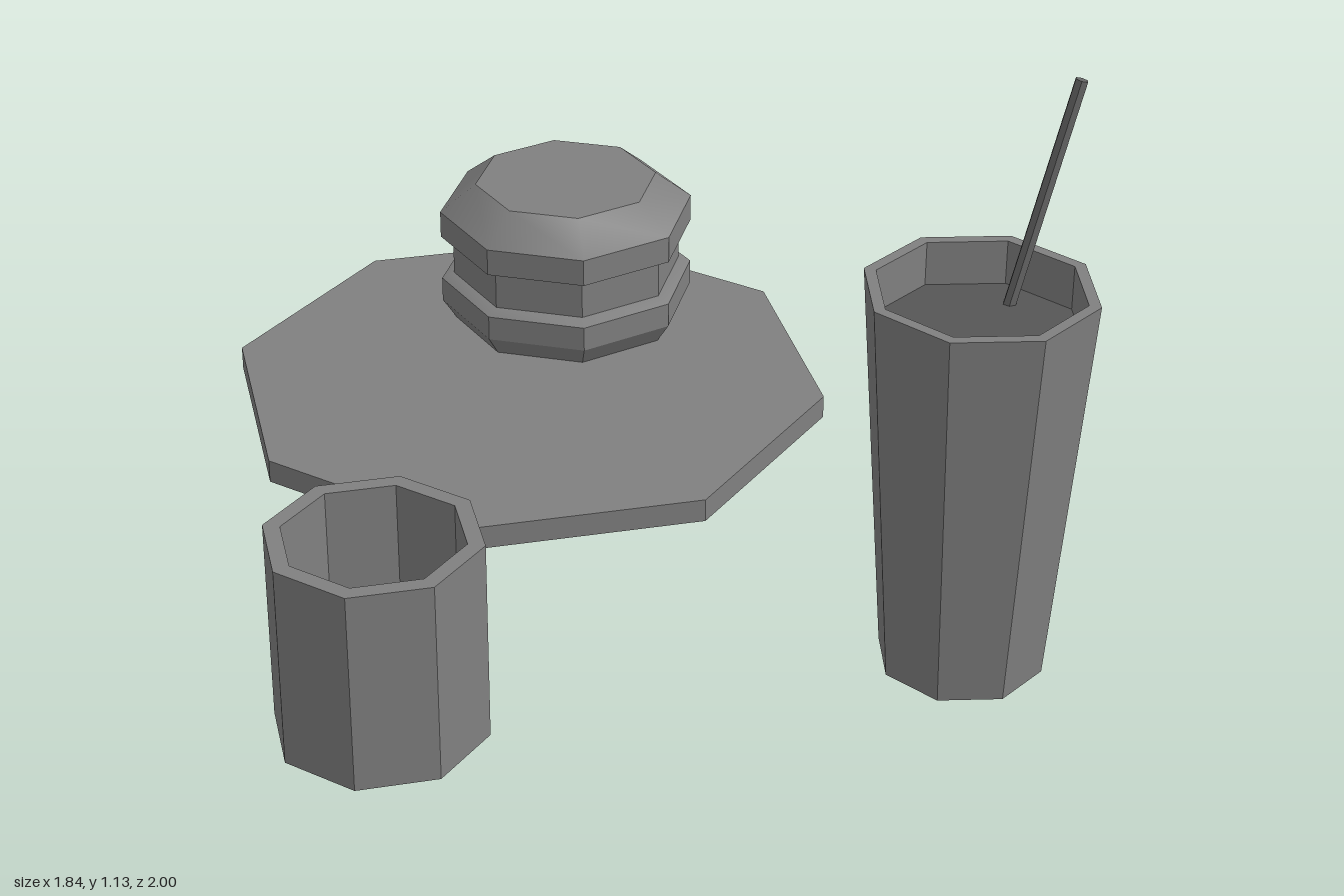
import * as THREE from 'three';
import { toCreasedNormals } from 'three/addons/utils/BufferGeometryUtils.js';

const SIDES = 8;
const GREY = 0x808080;
const CREASE = THREE.MathUtils.degToRad(29);

// Eight-sided lathe; profile runs from the bottom, up the outside, to the top.
// Wall edges stay sharp, only the shallow slopes of the buns shade smoothly.
function lathe(name, profile, color = GREY) {
  const points = profile.map(([r, h]) => new THREE.Vector2(r, h));
  const mesh = new THREE.Mesh(
    toCreasedNormals(new THREE.LatheGeometry(points, SIDES), CREASE),
    new THREE.MeshStandardMaterial({ color })
  );
  mesh.name = name;
  return mesh;
}

// Named group at a position, turned about the vertical axis
function place(name, [x, y, z], turn, ...parts) {
  const group = new THREE.Group();
  group.name = name;
  group.position.set(x, y, z);
  group.rotation.y = THREE.MathUtils.degToRad(turn);
  group.add(...parts);
  return group;
}

// Thin rod between two points
function rod(name, from, to, radius, color) {
  const axis = to.clone().sub(from);
  const mesh = new THREE.Mesh(
    new THREE.CylinderGeometry(radius, radius, axis.length(), 6),
    new THREE.MeshStandardMaterial({ color, flatShading: true })
  );
  mesh.name = name;
  mesh.position.copy(from).add(to).multiplyScalar(0.5);
  mesh.quaternion.setFromUnitVectors(new THREE.Vector3(0, 1, 0), axis.normalize());
  return mesh;
}

export function createModel() {
  const model = new THREE.Group();
  model.name = 'mealSet';

  model.add(
    // Flat plate
    place('plateGroup', [-0.28, 0.057, -0.36], 0,
      lathe('plate', [[0, 0], [0.641, 0], [0.641, 0.05], [0, 0.05]])),

    // Burger: bottom bun, filling and domed top bun
    place('burger', [-0.251, 0.107, -0.658], 18.3,
      lathe('bottomBun', [[0, 0], [0.25, 0], [0.279, 0.045], [0.279, 0.1], [0.25, 0.113], [0, 0.113]]),
      lathe('filling', [[0, 0.11], [0.252, 0.11], [0.252, 0.195], [0, 0.195]]),
      lathe('topBun', [[0, 0.19], [0.25, 0.19], [0.279, 0.203], [0.279, 0.263], [0.2, 0.325], [0, 0.325]])),

    // Short hollow cup
    place('cupGroup', [-0.327, 0, 0.795], 0,
      lathe('cup', [[0, 0], [0.205, 0], [0.205, 0.411], [0.172, 0.411], [0.172, 0.04], [0, 0.04]])),

    // Tall tapered glass with a pale base and a dark drink just under the rim
    place('drink', [0.708, 0, 0.394], -10.7,
      lathe('glassBase', [[0, 0], [0.16, 0]], 0xf0f0f0),
      lathe('glassWall', [[0.16, 0], [0.219, 0.793], [0.196, 0.793], [0.196, 0.7]]),
      lathe('liquid', [[0.196, 0.705], [0, 0.705]], 0x565656)),

    // Leaning straw
    rod('straw', new THREE.Vector3(0.737, 0.62, 0.292), new THREE.Vector3(0.857, 1.13, 0.21), 0.013, 0x666666)
  );

  return model;
}
